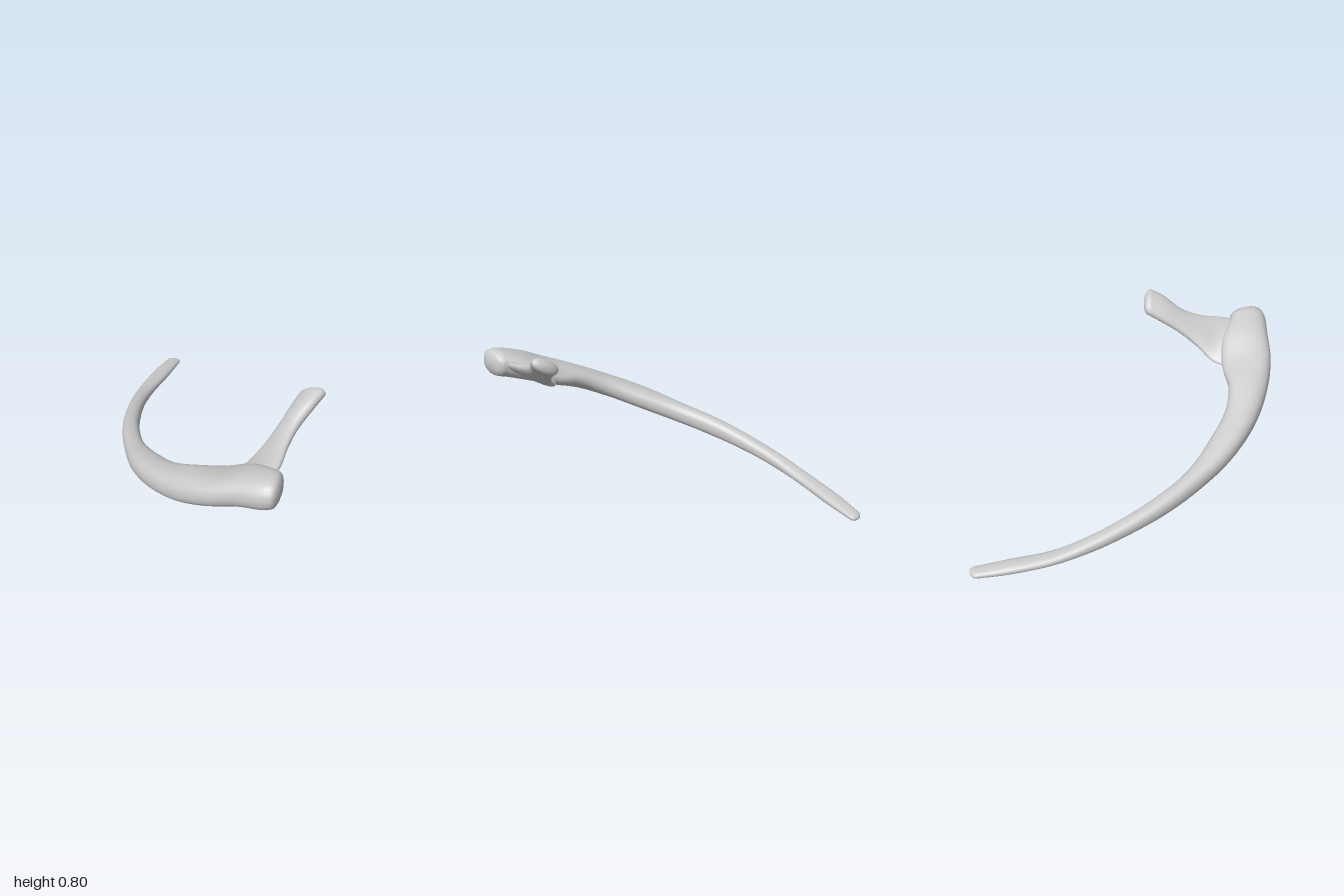
import * as THREE from 'three';

const material = new THREE.MeshStandardMaterial({ color: 0xcccccc, roughness: 0.8 });

// Smooth closed loft. Each section: outer edge xyz, inner edge xyz,
// half thickness near the outer edge and near the inner edge.
function loft(name, sections, up, capStart, capEnd, power) {
  const curve = (f) => new THREE.CatmullRomCurve3(sections.map((s) => new THREE.Vector3(...f(s))));
  const outer = curve((s) => s.slice(0, 3));
  const inner = curve((s) => s.slice(3, 6));
  const thick = curve((s) => [s[6], s[7], 0]);
  const around = 24, along = (sections.length - 1) * 5;
  const bend = (v) => Math.sign(v) * Math.abs(v) ** power;

  const ringAt = (t) => {
    const p = outer.getPoint(t), q = inner.getPoint(t), h = thick.getPoint(t);
    return Array.from({ length: around }, (_, i) => {
      const a = (i / around) * Math.PI * 2;
      const m = (1 - bend(Math.cos(a))) / 2;
      return p.clone().lerp(q, m).addScaledVector(up, bend(Math.sin(a)) * THREE.MathUtils.lerp(h.x, h.y, m));
    });
  };
  const middle = (t) => outer.getPoint(t).lerp(inner.getPoint(t), 0.5);

  // rounded end: rings shrink towards the middle while moving outwards
  const cap = (t, length) => {
    const c = middle(t);
    const dir = c.clone().sub(middle(t === 0 ? 0.02 : 0.98)).normalize();
    return [1, 2, 3, 4, 5].map((j) => {
      const a = (j / 5) * Math.PI / 2;
      return ringAt(t).map((v) => v.sub(c).multiplyScalar(Math.max(Math.cos(a), 0.001))
        .add(c).addScaledVector(dir, length * Math.sin(a)));
    });
  };

  const rings = [...cap(0, capStart).reverse()];
  for (let i = 0; i <= along; i++) rings.push(ringAt(i / along));
  rings.push(...cap(1, capEnd));

  const pts = rings.flat();
  const index = [];
  for (let r = 0; r < rings.length - 1; r++) {
    for (let i = 0; i < around; i++) {
      const a = r * around + i, b = r * around + ((i + 1) % around);
      index.push(a, b, a + around, b, b + around, a + around);
    }
  }
  // turn the faces outwards if the enclosed volume is negative
  let volume = 0;
  for (let i = 0; i < index.length; i += 3) {
    volume += pts[index[i]].dot(pts[index[i + 1]].clone().cross(pts[index[i + 2]]));
  }
  if (volume < 0) index.reverse();

  const geometry = new THREE.BufferGeometry().setFromPoints(pts);
  geometry.setIndex(index);
  geometry.computeVertexNormals();
  const mesh = new THREE.Mesh(geometry, material);
  mesh.name = name;
  return mesh;
}

export function createModel() {
  const group = new THREE.Group();
  group.name = 'curvedBone';

  // long curved shaft, from the thin tip to the blunt head
  group.add(loft('shaft', [
    [-0.375, 0.022, -0.96, -0.30, 0.022, -0.95, 0.018, 0.016],
    [-0.43, 0.040, -0.82, -0.345, 0.040, -0.79, 0.024, 0.024],
    [-0.49, 0.068, -0.61, -0.41, 0.068, -0.58, 0.026, 0.026],
    [-0.52, 0.110, -0.40, -0.44, 0.110, -0.39, 0.035, 0.035],
    [-0.525, 0.155, -0.20, -0.44, 0.155, -0.20, 0.042, 0.042],
    [-0.51, 0.198, 0.00, -0.42, 0.198, -0.02, 0.050, 0.050],
    [-0.465, 0.245, 0.21, -0.365, 0.250, 0.18, 0.056, 0.052],
    [-0.40, 0.308, 0.42, -0.265, 0.320, 0.36, 0.062, 0.056],
    [-0.29, 0.370, 0.61, -0.16, 0.395, 0.51, 0.068, 0.056],
    [-0.15, 0.435, 0.765, -0.05, 0.460, 0.59, 0.078, 0.052],
    [0.00, 0.510, 0.875, 0.08, 0.495, 0.625, 0.085, 0.045],
    [0.13, 0.565, 0.930, 0.21, 0.560, 0.69, 0.088, 0.060],
    [0.245, 0.595, 0.980, 0.31, 0.605, 0.79, 0.082, 0.070],
    [0.285, 0.602, 0.987, 0.325, 0.605, 0.80, 0.074, 0.066],
  ], new THREE.Vector3(0, 1, 0), 0.03, 0.035, 0.85));

  // flat leaning plate that narrows into a neck and ends in a rounded knob
  group.add(loft('branch', [
    [0.27, 0.600, 0.87, 0.08, 0.490, 0.66, 0.040, 0.025],
    [0.325, 0.635, 0.76, 0.155, 0.495, 0.605, 0.032, 0.022],
    [0.36, 0.665, 0.63, 0.235, 0.555, 0.555, 0.032, 0.026],
    [0.405, 0.705, 0.535, 0.31, 0.625, 0.48, 0.034, 0.030],
    [0.475, 0.770, 0.46, 0.37, 0.685, 0.395, 0.036, 0.034],
    [0.515, 0.795, 0.41, 0.41, 0.720, 0.34, 0.036, 0.036],
  ], new THREE.Vector3(-0.67, 0.74, 0), 0.03, 0.03, 0.9));

  return group;
}
